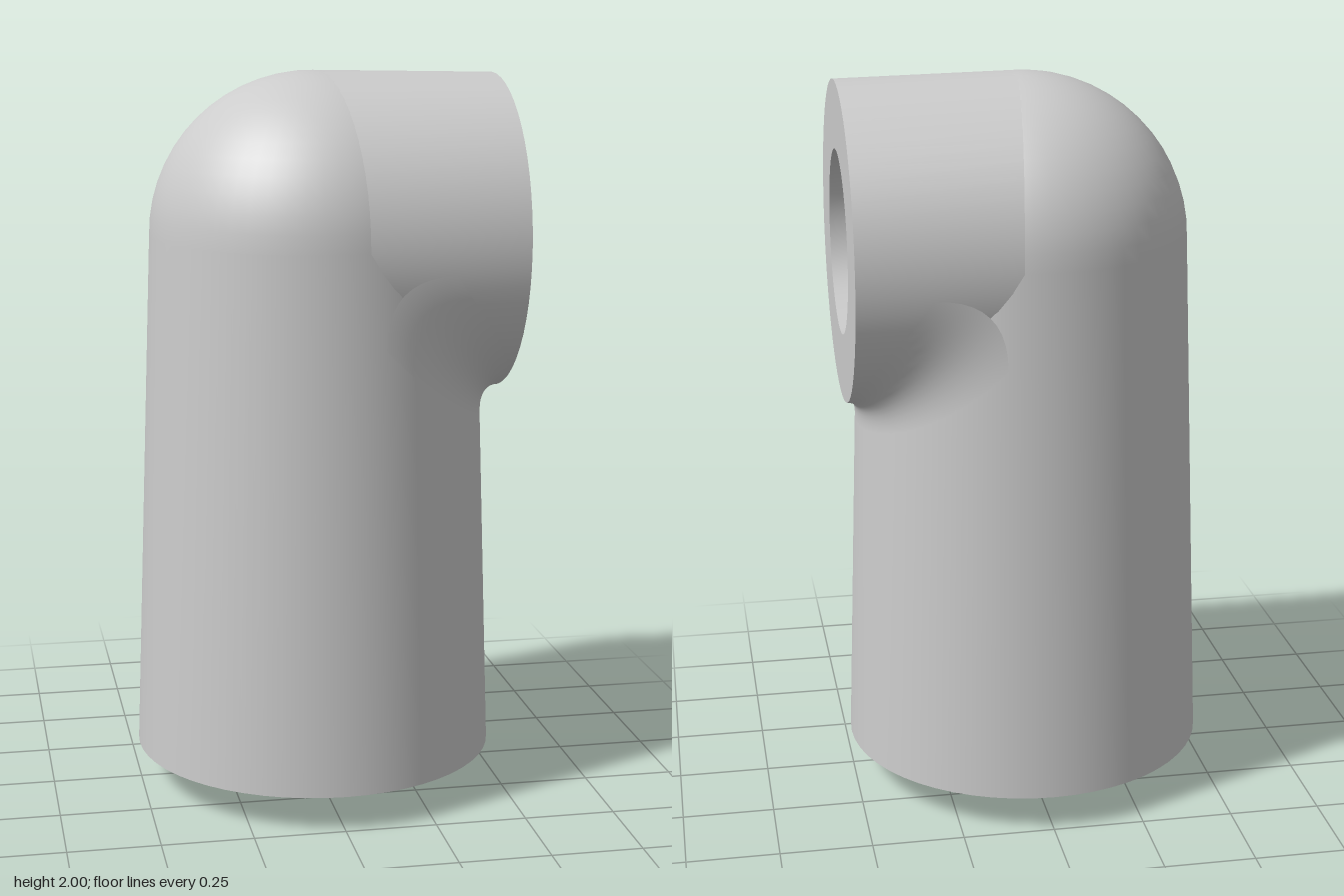
import * as THREE from 'three';
import { toCreasedNormals } from 'three/addons/utils/BufferGeometryUtils.js';
import { ParametricGeometry } from 'three/addons/geometries/ParametricGeometry.js';

const AXIS_Y = 1.555, END_X = 0.503, SIDES = 56;
const columnRadius = (y) => 0.45 + (AXIS_Y - y) * 0.0364;
const armRadius = (x) => 0.445 - x * 0.02;

// Lathe with sharp rims and smooth walls
function turned(points) {
  const profile = points.map(([r, y]) => new THREE.Vector2(r, y));
  return toCreasedNormals(new THREE.LatheGeometry(profile, SIDES), 0.5);
}

// Point where the column and the arm meet, at a given z
function junction(z) {
  let x = 0.3, y = 1.3;
  for (let i = 0; i < 30; i++) {
    y = AXIS_Y - Math.sqrt(Math.max(0, armRadius(x) ** 2 - z * z));
    x = Math.sqrt(Math.max(0, columnRadius(y) ** 2 - z * z));
  }
  return new THREE.Vector3(x, y, z);
}

// Soft blend swept along the crotch, from the column wall to the arm wall
function filletPoint(u, v, target) {
  const s = Math.sin((0.5 - u) * Math.PI);
  const corner = junction(0.438 * s);
  const reach = 0.07 + 0.12 * s * s;

  const y0 = corner.y - reach;
  const azimuth = Math.atan2(corner.z, corner.x);
  const r0 = columnRadius(y0);
  const low = new THREE.Vector3(r0 * Math.cos(azimuth), y0, r0 * Math.sin(azimuth));

  const x2 = Math.min(END_X, corner.x + reach);
  const roll = Math.atan2(corner.z, AXIS_Y - corner.y);
  const r2 = armRadius(x2);
  const high = new THREE.Vector3(x2, AXIS_Y - r2 * Math.cos(roll), r2 * Math.sin(roll));

  target.copy(new THREE.QuadraticBezierCurve3(low, corner, high).getPoint(v));
}

export function createModel() {
  const model = new THREE.Group();
  const material = new THREE.MeshStandardMaterial({ color: 0xcccccc });
  const add = (name, geometry) => {
    const mesh = new THREE.Mesh(geometry, material);
    mesh.name = name;
    model.add(mesh);
    return mesh;
  };

  // Connecting stub under the column
  add('stub', turned([[0, 0], [0.245, 0], [0.245, 0.1]]));

  // Tapered column closed by a dome
  const column = [[0, 0.1], [0.503, 0.1]];
  for (let i = 0; i <= 14; i++) {
    const a = (i / 14) * Math.PI / 2;
    column.push([i === 14 ? 0 : 0.45 * Math.cos(a), AXIS_Y + 0.445 * Math.sin(a)]);
  }
  add('column', turned(column));

  // Side arm with a round socket in its end face
  const arm = add('arm', turned([
    [armRadius(0), 0], [armRadius(END_X), END_X],
    [0.25, END_X], [0.25, END_X - 0.1], [0, END_X - 0.1],
  ]));
  arm.rotation.z = -Math.PI / 2;
  arm.position.y = AXIS_Y;

  // Rounded inner corner of the elbow
  add('elbowFillet', new ParametricGeometry(filletPoint, 48, 10));

  return model;
}
